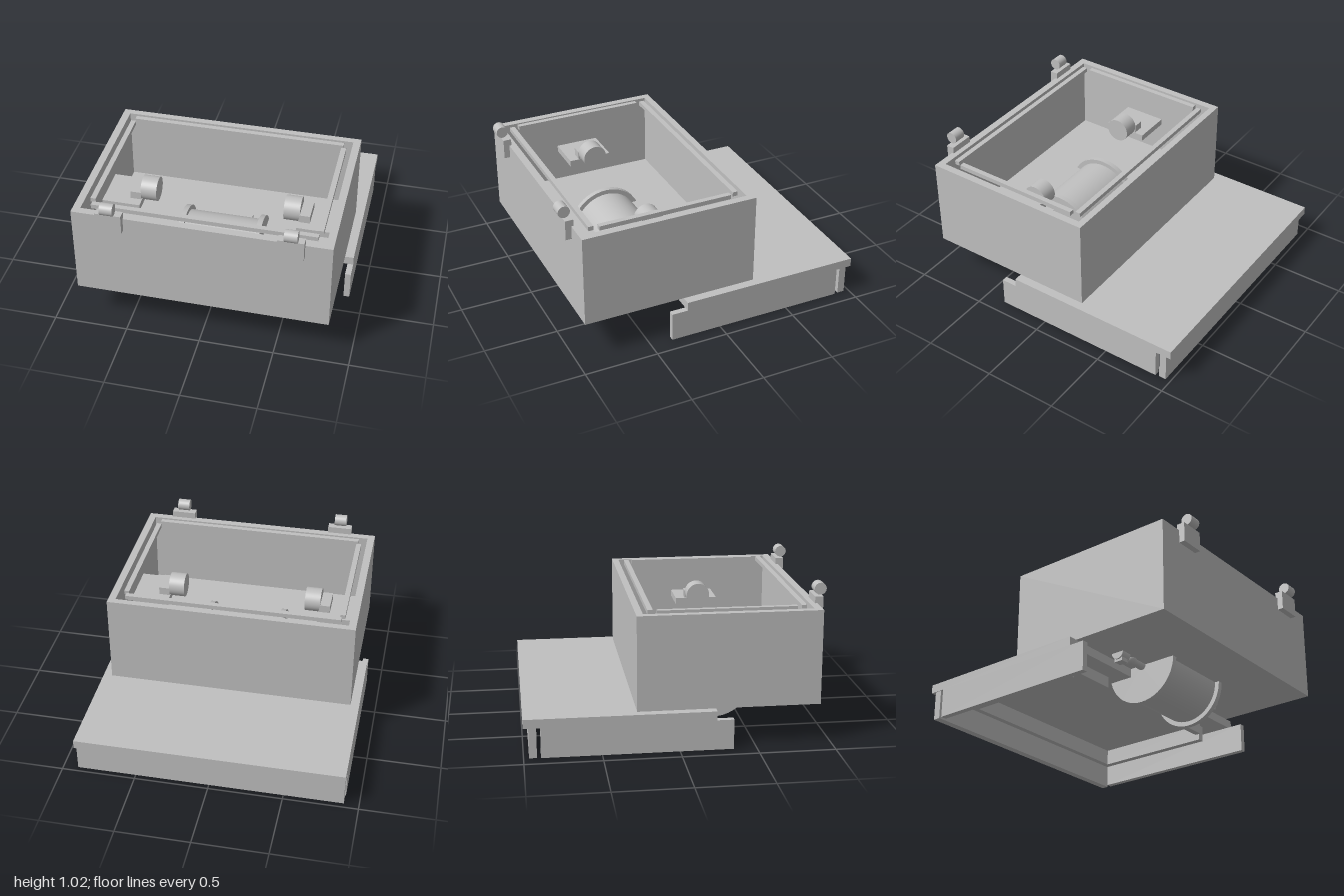
import * as THREE from 'three';

export function createModel() {
  const model = new THREE.Group();
  model.name = 'openCase';
  const grey = new THREE.MeshStandardMaterial({ color: 0xc0c0c0 });
  grey.name = 'plain grey';

  const add = (name, geometry, x, y, z) => {
    const mesh = new THREE.Mesh(geometry, grey);
    mesh.name = name;
    mesh.position.set(x, y, z);
    model.add(mesh);
    return mesh;
  };
  // Box given by its limits on each axis
  const box = (name, x0, x1, y0, y1, z0, z1) =>
    add(name, new THREE.BoxGeometry(x1 - x0, y1 - y0, z1 - z0),
      (x0 + x1) / 2, (y0 + y1) / 2, (z0 + z1) / 2);
  // The same box on both sides
  const boxPair = (name, x0, x1, ...rest) => {
    box(name, x0, x1, ...rest);
    box(name, -x1, -x0, ...rest);
  };
  // Cylinder lying along x
  const roller = (name, x0, x1, r, y, z) =>
    add(name, new THREE.CylinderGeometry(r, r, x1 - x0, 48).rotateZ(Math.PI / 2), (x0 + x1) / 2, y, z);
  const rollerPair = (name, x0, x1, r, y, z) => {
    roller(name, x0, x1, r, y, z);
    roller(name, -x1, -x0, r, y, z);
  };

  // Open box: walls extruded as a ring, then a thick floor
  const rect = (target, x, z0, z1) => {
    target.moveTo(-x, -z1);
    target.lineTo(x, -z1);
    target.lineTo(x, -z0);
    target.lineTo(-x, -z0);
    target.closePath();
    return target;
  };
  const ring = rect(new THREE.Shape(), 0.845, -0.27, 0.93);
  ring.holes.push(rect(new THREE.Path(), 0.795, -0.225, 0.88));
  const walls = new THREE.ExtrudeGeometry(ring, { depth: 0.63, bevelEnabled: false });
  add('boxWalls', walls.rotateX(-Math.PI / 2), 0, 0.26, 0);
  box('boxFloor', -0.797, 0.797, 0.26, 0.375, -0.227, 0.882);

  // Sealing bars around the opening
  boxPair('sideSeal', 0.725, 0.76, 0.87, 0.9, -0.13, 0.78);
  box('backSeal', -0.737, 0.737, 0.87, 0.9, -0.19, -0.155);
  box('frontSeal', -0.737, 0.737, 0.87, 0.9, 0.81, 0.845);

  // Hinges on the front rim
  boxPair('hingePlate', 0.5, 0.67, 0.8, 0.935, 0.915, 0.97);
  rollerPair('hingeBarrel', 0.545, 0.63, 0.04, 0.976, 0.96);

  // Shelves and stub rollers inside the box
  boxPair('innerShelf', 0.535, 0.796, 0.6, 0.645, 0.175, 0.475);
  boxPair('rollerBlock', 0.54, 0.615, 0.64, 0.7, 0.24, 0.41);
  rollerPair('stubRoller', 0.435, 0.545, 0.083, 0.69, 0.325);

  // Tray beneath the box
  box('trayTop', -0.905, 0.905, 0.2, 0.26, -1, 0.24);
  boxPair('traySide', 0.865, 0.905, 0, 0.2, -0.89, 0.35);
  box('trayBack', -0.9, 0.9, 0, 0.2, -0.965, -0.915);
  boxPair('trayRail', 0.695, 0.74, 0.09, 0.2, -0.79, 0.1);
  box('backRail', -0.74, 0.74, 0.09, 0.2, -0.79, -0.75);
  boxPair('frontBracket', 0.37, 0.68, 0.125, 0.2, 0.08, 0.12);

  // Central drum with flanges and rear bar
  roller('drum', -0.245, 0.245, 0.229, 0.26, 0.325);
  rollerPair('drumFlange', 0.245, 0.28, 0.26, 0.26, 0.325);
  box('drumBar', -0.17, 0.17, 0.12, 0.4, 0.1, 0.15);

  // Axle parts on each side of the drum
  rollerPair('axle', 0.28, 0.38, 0.03, 0.257, 0.33);
  for (const s of [-1, 1]) add('axleBall', new THREE.SphereGeometry(0.04, 24, 16), s * 0.4, 0.26, 0.33);
  rollerPair('axleEnd', 0.46, 0.54, 0.045, 0.26, 0.33);
  boxPair('axleFoot', 0.475, 0.53, 0.2, 0.26, 0.3, 0.36);

  return model;
}
